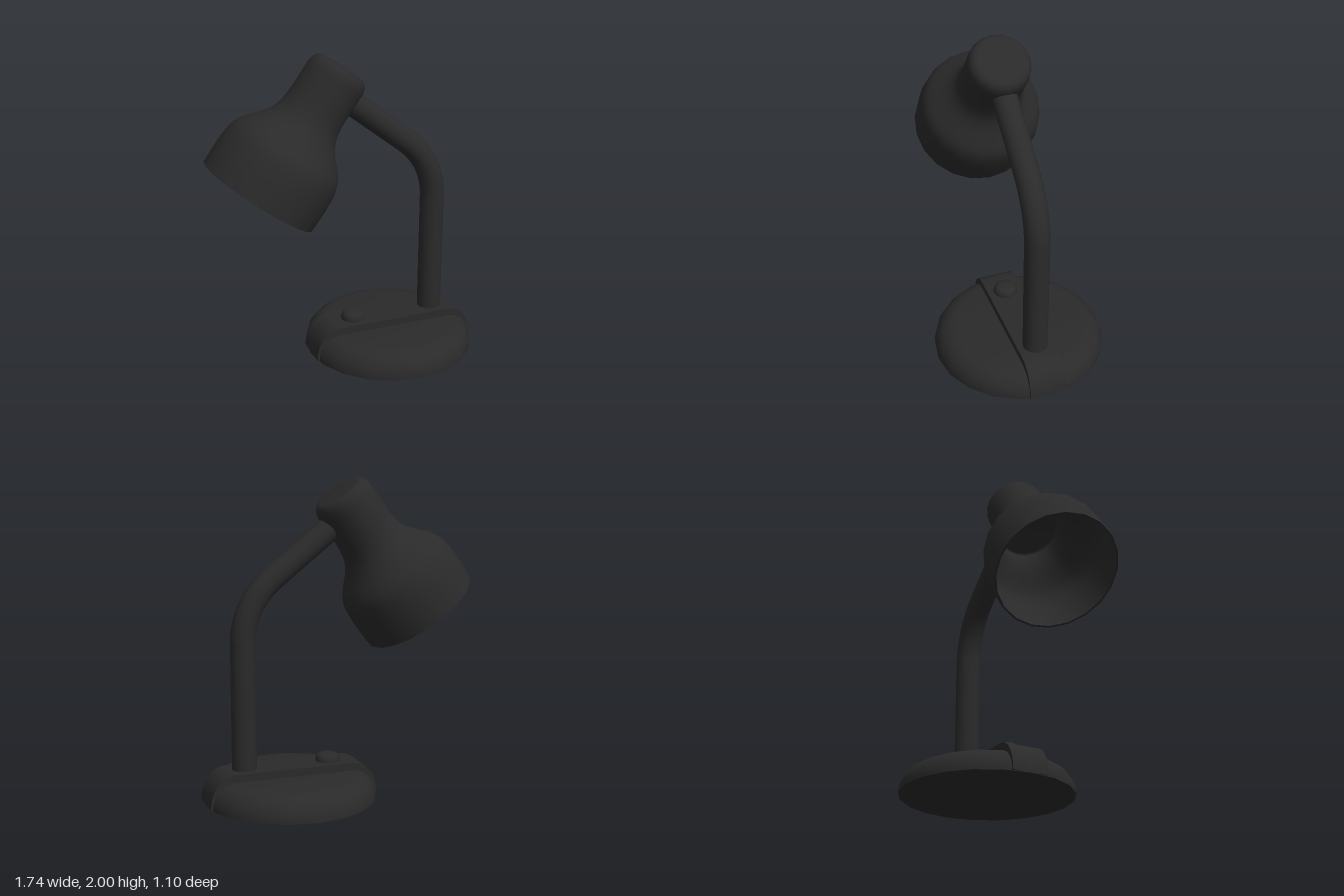
import * as THREE from 'three';
import { toCreasedNormals } from 'three/addons/utils/BufferGeometryUtils.js';

const v2 = (x, y) => new THREE.Vector2(x, y);
const v3 = (x, y) => new THREE.Vector3(x, y, 0);
const BASE_X = 0.32;
const BASE_R = 0.55;

export function createModel() {
  const model = new THREE.Group();
  const black = new THREE.MeshStandardMaterial({ color: 0x2a2a2a });
  const blackShell = new THREE.MeshStandardMaterial({ color: 0x2a2a2a, side: THREE.DoubleSide });

  function add(name, geometry, x = 0, y = 0, material = black) {
    const mesh = new THREE.Mesh(geometry, material);
    mesh.name = name;
    mesh.position.set(x, y, 0);
    model.add(mesh);
    return mesh;
  }

  // Quarter round from the outer wall up to a flat top
  function roundedDisc(radius, height, round, steps, sides) {
    const points = [v2(radius, 0)];
    for (let i = 0; i <= steps; i++) {
      const a = (i / steps) * Math.PI / 2;
      points.push(v2(radius - round + round * Math.cos(a), height - round + round * Math.sin(a)));
    }
    points.push(v2(0, height));
    return toCreasedNormals(new THREE.LatheGeometry(points, sides), 0.6);
  }

  // Round base with a flat underside
  add('base', roundedDisc(BASE_R, 0.16, 0.15, 6, 20), BASE_X);
  add('baseUnderside', new THREE.CircleGeometry(BASE_R, 20).rotateX(Math.PI / 2), BASE_X);

  // Raised strip across the base, rounded at both ends
  const end = BASE_R - 0.005;
  const strip = new THREE.Shape();
  strip.moveTo(-end, 0.005);
  strip.lineTo(end, 0.005);
  strip.bezierCurveTo(end, 0.12, end - 0.07, 0.21, end - 0.16, 0.21);
  strip.lineTo(-end + 0.16, 0.21);
  strip.bezierCurveTo(-end + 0.07, 0.21, -end, 0.12, -end, 0.005);
  const stripGeometry = new THREE.ExtrudeGeometry(strip, { depth: 0.236, bevelEnabled: false, curveSegments: 8 });
  stripGeometry.translate(0, 0, -0.118);
  add('baseStrip', toCreasedNormals(stripGeometry, 0.6), BASE_X);

  // Push button on the strip
  add('switchButton', roundedDisc(0.077, 0.055, 0.04, 4, 16), 0.067, 0.207);

  // Upright arm bending over to the neck of the shade
  const path = new THREE.CurvePath();
  path.add(new THREE.LineCurve3(v3(0.617, 0.15), v3(0.617, 1.0)));
  path.add(new THREE.CubicBezierCurve3(v3(0.617, 1.0), v3(0.617, 1.158), v3(0.542, 1.303), v3(0.418, 1.4)));
  path.add(new THREE.LineCurve3(v3(0.418, 1.4), v3(-0.03, 1.752)));
  add('arm', new THREE.TubeGeometry(path, 64, 0.078, 16, false));

  // Bell shaped shade: straight rim, waist, then a rounded cap
  const bell = new THREE.SplineCurve([
    v2(0.392, 0), v2(0.394, 0.1), v2(0.392, 0.2), v2(0.38, 0.29), v2(0.347, 0.36),
    v2(0.268, 0.45), v2(0.222, 0.52), v2(0.2, 0.6), v2(0.195, 0.7), v2(0.195, 0.855),
  ]).getPoints(27);
  const cap = [v2(0.19, 0.888), v2(0.178, 0.912), v2(0.16, 0.928), v2(0.135, 0.935), v2(0, 0.937)];
  const lining = bell.slice(0, 22).map((p) => v2(p.x - 0.012, p.y));

  const shade = new THREE.Group();
  shade.name = 'shade';
  shade.position.set(-0.555, 1.16, 0);
  shade.rotation.z = -0.63;
  model.add(shade);
  shade.add(add('shadeShell', new THREE.LatheGeometry([...bell, ...cap], 20), 0, 0, blackShell));

  // Inner wall, closed at the lamp socket, and the thin rim between the walls
  const inner = [v2(0, lining[21].y), ...lining.reverse()];
  shade.add(add('shadeLining', new THREE.LatheGeometry(inner, 20), 0, 0, blackShell));
  shade.add(add('shadeRim', new THREE.RingGeometry(0.38, 0.392, 20).rotateX(Math.PI / 2)));

  return model;
}
